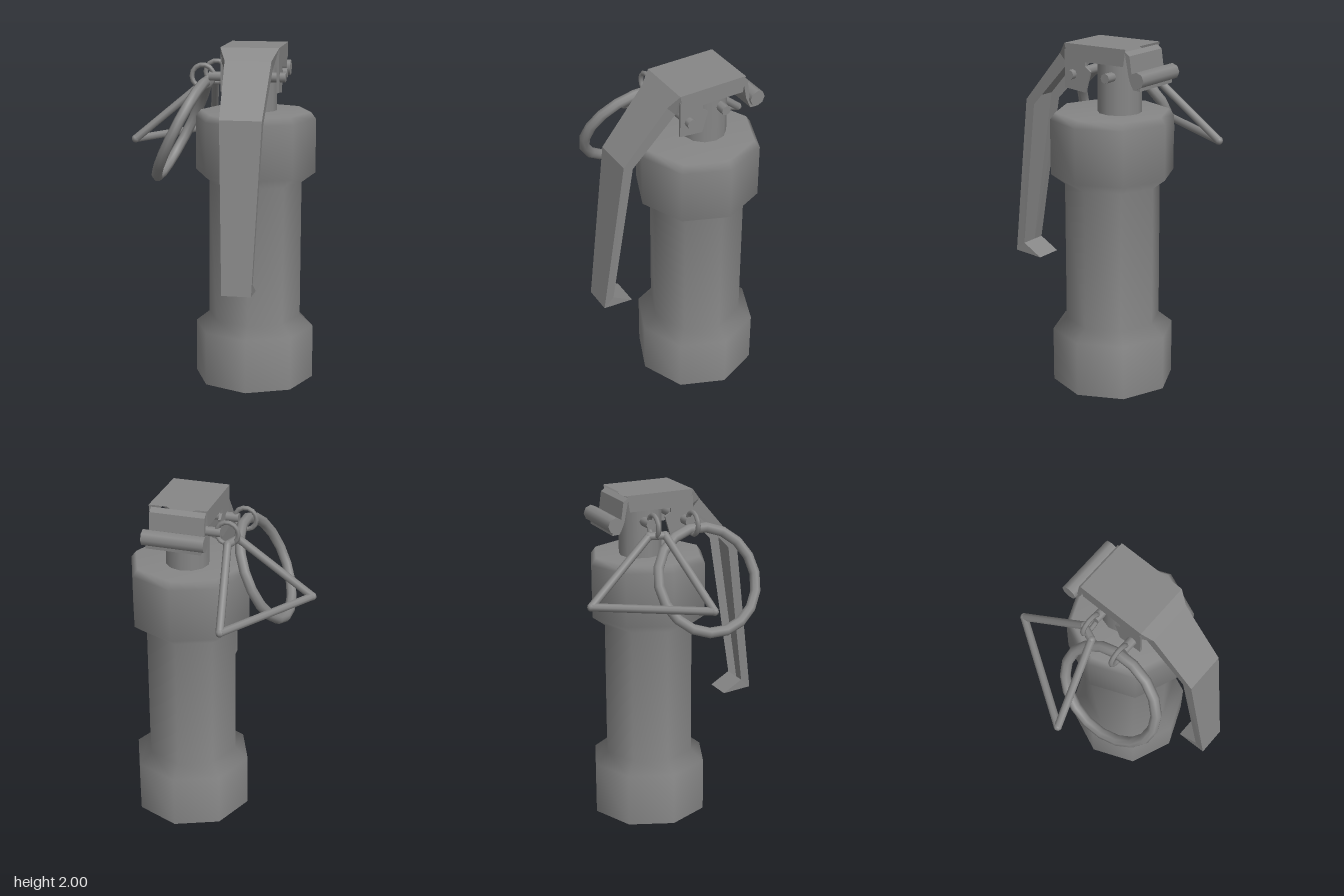
import * as THREE from 'three';

const CX = 0.18; // shared centre line of the head and lever

export function createModel() {
  const model = new THREE.Group();
  const steel = new THREE.MeshStandardMaterial({ color: 0x868686 });
  steel.name = 'grey steel';
  const sheet = new THREE.MeshStandardMaterial({ color: 0x868686, side: THREE.DoubleSide });
  sheet.name = 'grey sheet steel';

  const add = (name, geometry, x = 0, y = 0, z = 0, material = steel) => {
    const mesh = new THREE.Mesh(geometry, material);
    mesh.name = name;
    mesh.position.set(x, y, z);
    model.add(mesh);
    return mesh;
  };

  // Round bar between two points
  const rod = (name, a, b, r, sides = 8) => {
    const dir = b.clone().sub(a);
    const mesh = add(name, new THREE.CylinderGeometry(r, r, dir.length(), sides));
    mesh.position.copy(a).add(b).multiplyScalar(0.5);
    mesh.quaternion.setFromUnitVectors(new THREE.Vector3(0, 1, 0), dir.normalize());
    return mesh;
  };

  // Profile given as [z, y] points, extruded along x and centred on x
  const sideProfile = (name, points, width, x) => {
    const shape = new THREE.Shape(points.map(([z, y]) => new THREE.Vector2(-z, y)));
    const geometry = new THREE.ExtrudeGeometry(shape, { depth: width, bevelEnabled: false });
    geometry.rotateY(Math.PI / 2);
    return add(name, geometry, x - width / 2);
  };

  // Eight-sided body with thicker ends
  const profile = [
    [0.355, 0], [0.355, 0.32], [0.275, 0.385], [0.275, 1.2],
    [0.355, 1.26], [0.355, 1.575], [0.325, 1.615], [0, 1.615],
  ].map(([r, y]) => new THREE.Vector2(r, y));
  add('body', new THREE.LatheGeometry(profile, 8), 0.185, 0, -0.07);
  const base = add('bodyBase', new THREE.CircleGeometry(0.355, 8), 0.185, 0, -0.07);
  base.rotation.x = Math.PI / 2;

  // Neck under the head
  add('neck', new THREE.CylinderGeometry(0.125, 0.125, 0.37, 12), CX, 1.785, -0.117);

  // Channel-shaped lever: [outer z, outer y, inner z, inner y, half width]
  const sections = [
    [-0.27, 2.0, -0.255, 1.905, 0.167],
    [0.14, 2.0, 0.12, 1.905, 0.167],
    [0.2, 1.932, 0.15, 1.875, 0.132],
    [0.46, 1.635, 0.405, 1.61, 0.118],
    [0.59, 0.68, 0.53, 0.735, 0.083],
  ].map(([oz, oy, iz, iy, w]) => [
    [CX - w, iy, iz], [CX - w, oy, oz], [CX + w, oy, oz], [CX + w, iy, iz],
  ]);
  const positions = [];
  for (let i = 0; i < sections.length - 1; i++) {
    for (let j = 0; j < 3; j++) {
      const a = sections[i][j], b = sections[i][j + 1];
      const c = sections[i + 1][j + 1], d = sections[i + 1][j];
      positions.push(...a, ...d, ...c, ...a, ...c, ...b);
    }
  }
  const channel = new THREE.BufferGeometry();
  channel.setAttribute('position', new THREE.Float32BufferAttribute(positions, 3));
  channel.computeVertexNormals();
  add('lever', channel, 0, 0, 0, sheet);
  sideProfile('leverHook', [[0.59, 0.68], [0.53, 0.735], [0.41, 0.665]], 0.166, CX);

  // Ears that hold the pins
  for (const side of [-1, 1]) {
    sideProfile('ear', [
      [0.14, 1.96], [0.14, 1.75], [0.0, 1.735], [-0.035, 1.855], [0.0, 1.88], [0.0, 1.96],
    ], 0.014, CX + side * 0.16);
  }

  // Curled rear lip and its roller
  sideProfile('rearLip', [
    [-0.26, 1.985], [-0.29, 1.965], [-0.305, 1.86], [-0.325, 1.805], [-0.36, 1.8],
    [-0.36, 1.78], [-0.315, 1.783], [-0.285, 1.85], [-0.265, 1.95],
  ], 0.315, CX);
  rod('hingeRoller', new THREE.Vector3(0, 1.84, -0.348),
    new THREE.Vector3(0.356, 1.84, -0.348), 0.046);

  // Cross pins with a small ring on each
  for (const [x0, x1, z, ringX] of [[-0.06, 0.38, 0.085, -0.098], [-0.025, 0.36, -0.143, -0.06]]) {
    rod('pin', new THREE.Vector3(x0, 1.83, z), new THREE.Vector3(x1, 1.83, z), 0.028);
    add('smallRing', new THREE.TorusGeometry(0.064, 0.014, 6, 14), ringX, 1.83, z);
  }

  // Large tilted pull ring
  const pullRing = add('pullRing', new THREE.TorusGeometry(0.305, 0.031, 8, 18), -0.215, 1.525, 0.12);
  pullRing.rotation.set(0, Math.PI / 2, 0);
  pullRing.quaternion.premultiply(
    new THREE.Quaternion().setFromAxisAngle(new THREE.Vector3(0, 0, 1), -0.456));

  // Triangular pull loop with rounded corners
  const corners = [
    [-0.073, 1.78, -0.18], [-0.15, 1.442, -0.57], [-0.518, 1.442, 0.004], [-0.11, 1.785, -0.095],
  ].map((p) => new THREE.Vector3(...p));
  corners.forEach((p, i) => {
    rod('triangleBar', p, corners[(i + 1) % corners.length], 0.023);
    add('triangleCorner', new THREE.SphereGeometry(0.024, 8, 6), p.x, p.y, p.z);
  });

  return model;
}
